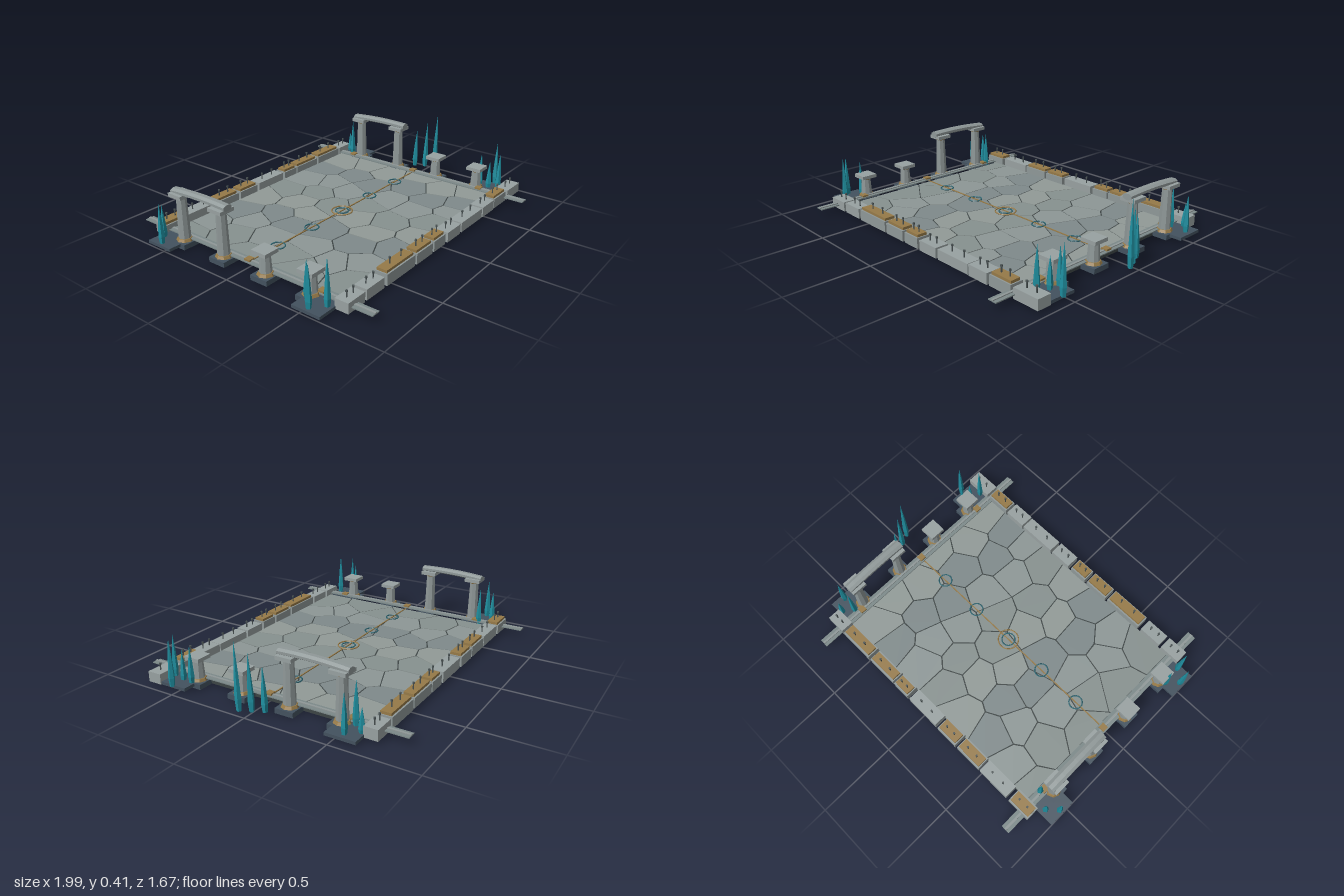
import * as THREE from 'three';

const mat = (color) => new THREE.MeshStandardMaterial({ color, flatShading: true, side: THREE.DoubleSide });
const STONE = mat(0x8f9898), PALE = mat(0x98a1a1), RAIL = mat(0x7c8989), GOLD = mat(0x967a48);
const DARK = mat(0x43525f), GROOVE = mat(0x3d4545), TEAL = mat(0x1f8fa0), RING = mat(0x2c6470), METAL = mat(0x4c5556);
const TILES = [0x87918f, 0x8d9796, 0x7f8a8b, 0x919a97].map(mat);

function rng(seed) {
  return () => {
    seed = (seed * 16807) % 2147483647;
    return seed / 2147483647;
  };
}

function add(parent, name, geo, material, x = 0, y = 0, z = 0) {
  const m = new THREE.Mesh(geo, material);
  m.name = name;
  m.position.set(x, y, z);
  parent.add(m);
  return m;
}

// Box standing on height y
function box(parent, name, material, w, h, d, x, y, z) {
  return add(parent, name, new THREE.BoxGeometry(w, h, d), material, x, y + h / 2, z);
}

function group(parent, name, x = 0, y = 0, z = 0) {
  const g = new THREE.Group();
  g.name = name;
  g.position.set(x, y, z);
  parent.add(g);
  return g;
}

// Keep the part of a polygon nearer to site a than to site b
function clipCell(poly, a, b) {
  const n = b.clone().sub(a), mid = a.clone().add(b).multiplyScalar(0.5);
  const dist = (p) => (p.x - mid.x) * n.x + (p.y - mid.y) * n.y;
  const out = [];
  poly.forEach((p, i) => {
    const q = poly[(i + 1) % poly.length], dp = dist(p), dq = dist(q);
    if (dp <= 0) out.push(p);
    if (dp * dq < 0) out.push(p.clone().lerp(q, dp / (dp - dq)));
  });
  return out;
}

// Irregular paving: cells around jittered sites, shrunk to leave grooves
function paving(parent) {
  const g = group(parent, 'floor');
  const x0 = -0.8, x1 = 0.78, z0 = -0.63, z1 = 0.63, cols = 8, rows = 6, rand = rng(77);
  box(g, 'floorSlab', GROOVE, x1 - x0, 0.024, z1 - z0, (x0 + x1) / 2, 0.002, 0);
  const sites = [];
  for (let r = 0; r < rows; r++) for (let c = 0; c < cols; c++) {
    const shift = (r % 2 ? 0.25 : -0.25) + (rand() - 0.5) * 0.5;
    sites.push(new THREE.Vector2(
      x0 + (c + 0.5 + shift) * (x1 - x0) / cols,
      z0 + (r + 0.5 + (rand() - 0.5) * 0.5) * (z1 - z0) / rows));
  }
  sites.forEach((s, i) => {
    let poly = [[x0, z0], [x1, z0], [x1, z1], [x0, z1]].map(([x, z]) => new THREE.Vector2(x, z));
    sites.forEach((o) => { if (o !== s) poly = clipCell(poly, s, o); });
    const mid = poly.reduce((m, p) => m.add(p), new THREE.Vector2()).divideScalar(poly.length);
    const shape = new THREE.Shape(poly.map((p) => {
      const v = p.clone().sub(mid);
      return p.clone().sub(v.multiplyScalar(0.0045 / v.length()));
    }));
    const geo = new THREE.ExtrudeGeometry(shape, { depth: 0.01, bevelEnabled: false });
    geo.rotateX(Math.PI / 2);
    add(g, 'floorTile', geo, TILES[i % 4], 0, 0.03, 0);
  });
}

// Stone blocks along one edge: [start, end, hasGoldCap]
function wall(parent, name, z, blocks, seed) {
  const g = group(parent, name), rand = rng(seed);
  for (const [a, b, gold] of blocks) {
    const w = b - a, x = (a + b) / 2, h = 0.06 + rand() * 0.008, d = 0.08 + rand() * 0.01;
    box(g, 'wallBlock', gold ? STONE : PALE, w, h, d, x, 0.013, z);
    let top = 0.013 + h;
    if (gold) {
      box(g, 'goldCap', GOLD, w - 0.015, 0.016, d - 0.02, x, top, z);
      top += 0.016;
    }
    for (const s of [-1, 1]) {
      add(g, 'stud', new THREE.CylinderGeometry(0.004, 0.004, 0.036, 6), METAL, x + s * w * 0.2, top + 0.018, z);
      add(g, 'studHead', new THREE.CylinderGeometry(0.007, 0.007, 0.01, 6), METAL, x + s * w * 0.2, top + 0.036, z);
    }
  }
}

// Pillar with plinth, gold collar, tapered shaft and capital
function pillar(parent, x, z, height) {
  const g = group(parent, 'pillar', x, 0, z), capY = height - 0.022;
  box(g, 'plinth', DARK, 0.115, 0.03, 0.115, 0, 0, 0);
  add(g, 'collar', new THREE.CylinderGeometry(0.042, 0.05, 0.016, 8), GOLD, 0, 0.038, 0);
  add(g, 'shaft', new THREE.CylinderGeometry(0.029, 0.036, capY - 0.046, 8), STONE, 0, (capY + 0.046) / 2, 0);
  add(g, 'neckRing', new THREE.CylinderGeometry(0.036, 0.031, 0.012, 8), GOLD, 0, capY - 0.006, 0);
  box(g, 'capital', PALE, 0.1, 0.022, 0.1, 0, capY, 0);
}

// Slightly arched lintel laid across two tall pillars
function lintel(parent, x) {
  const geo = new THREE.CylinderGeometry(0.032, 0.032, 0.425, 8, 8);
  geo.rotateY(Math.PI / 8).rotateX(Math.PI / 2).scale(1, 0.6, 1);
  const p = geo.attributes.position;
  for (let i = 0; i < p.count; i++) {
    const t = p.getZ(i) / 0.2125;
    p.setY(i, p.getY(i) + 0.008 * (1 - t * t) + 0.005 * t);
  }
  geo.computeVertexNormals();
  add(parent, 'lintel', geo, STONE, x, 0.327, -0.315);
}

function crystal(parent, x, z, tip, base = 0.025, lean = 0) {
  const h = tip - base;
  const profile = [[0, 0], [0.014, 0], [0.019, 0.18], [0.011, 0.6], [0, 1]];
  const geo = new THREE.LatheGeometry(profile.map(([r, y]) => new THREE.Vector2(r, y * h)), 5);
  const m = add(parent, 'crystal', geo, TEAL, x, base, z);
  m.rotation.set(lean, x * 7 + z * 5, 0);
}

export function createModel() {
  const model = new THREE.Group();
  model.name = 'ruinedCourt';
  paving(model);

  wall(model, 'frontWall', 0.665, [
    [-0.88, -0.745, 0], [-0.727, -0.578, 0], [-0.555, -0.295, 1], [-0.278, -0.118, 1], [-0.1, 0.02, 1],
    [0.043, 0.187, 0], [0.203, 0.45, 0], [0.46, 0.6, 0], [0.615, 0.77, 1], [0.79, 0.957, 0]], 11);
  wall(model, 'backWall', -0.665, [
    [-0.88, -0.727, 1], [-0.705, -0.487, 0], [-0.475, -0.295, 1], [-0.278, -0.128, 1], [-0.107, 0.123, 0],
    [0.144, 0.262, 1], [0.273, 0.48, 1], [0.497, 0.727, 1], [0.743, 0.87, 0]], 29);

  // Side rails, pillars and corner plates
  for (const [side, railX, pillarX, plateX] of [['right', -0.828, -0.865, -0.91], ['left', 0.777, 0.817, 0.86]]) {
    const g = group(model, side + 'Side');
    box(g, 'rail', RAIL, 0.056, 0.006, 1.67, railX, 0.037, -0.003);
    box(g, 'railRidge', STONE, 0.014, 0.006, 1.67, railX, 0.042, -0.003);
    for (const z of [-0.515, 0, 0.51]) box(g, 'railClasp', GOLD, 0.04, 0.018, 0.04, railX, 0.036, z);
    for (const z of [-0.475, -0.157]) pillar(g, pillarX, z, 0.322);
    for (const z of [0.155, 0.465]) pillar(g, pillarX, z, 0.177);
    lintel(g, pillarX);
    for (const z of [-0.54, 0.54]) box(g, 'cornerPlate', DARK, 0.18, 0.018, 0.18, plateX, 0.012, z);
  }

  // Crystal clusters: [x, z, tip height]
  const clusters = group(model, 'crystals');
  for (const [x, z, tip] of [
    [-0.915, -0.595, 0.23], [-0.975, -0.54, 0.28], [-0.82, -0.54, 0.26],
    [-0.975, 0.54, 0.28], [-0.91, 0.475, 0.25], [-0.905, 0.6, 0.3],
    [0.86, -0.612, 0.17], [0.915, -0.545, 0.26], [0.81, -0.55, 0.28],
    [0.955, 0.535, 0.31], [0.865, 0.535, 0.21], [0.85, 0.61, 0.29], [0.87, 0.47, 0.25]]) crystal(clusters, x, z, tip);
  for (const [x, z, tip] of [[0.92, -0.075, 0.28], [0.95, -0.012, 0.345], [0.978, 0.048, 0.407]]) {
    crystal(clusters, x, z, tip, 0.02, 0.03);
  }

  // Inlaid centre line and rings
  const inlay = group(model, 'inlay');
  box(inlay, 'centreLine', GOLD, 1.6, 0.005, 0.007, -0.022, 0.031, 0);
  const ring = (x, r, m) => {
    add(inlay, 'ring', new THREE.TorusGeometry(r, 0.004, 6, 28).rotateX(Math.PI / 2), m, x, 0.034, 0);
  };
  for (const x of [-0.603, -0.313, -0.025, 0.262, 0.55]) ring(x, 0.041, RING);
  ring(-0.025, 0.064, GOLD);
  return model;
}
